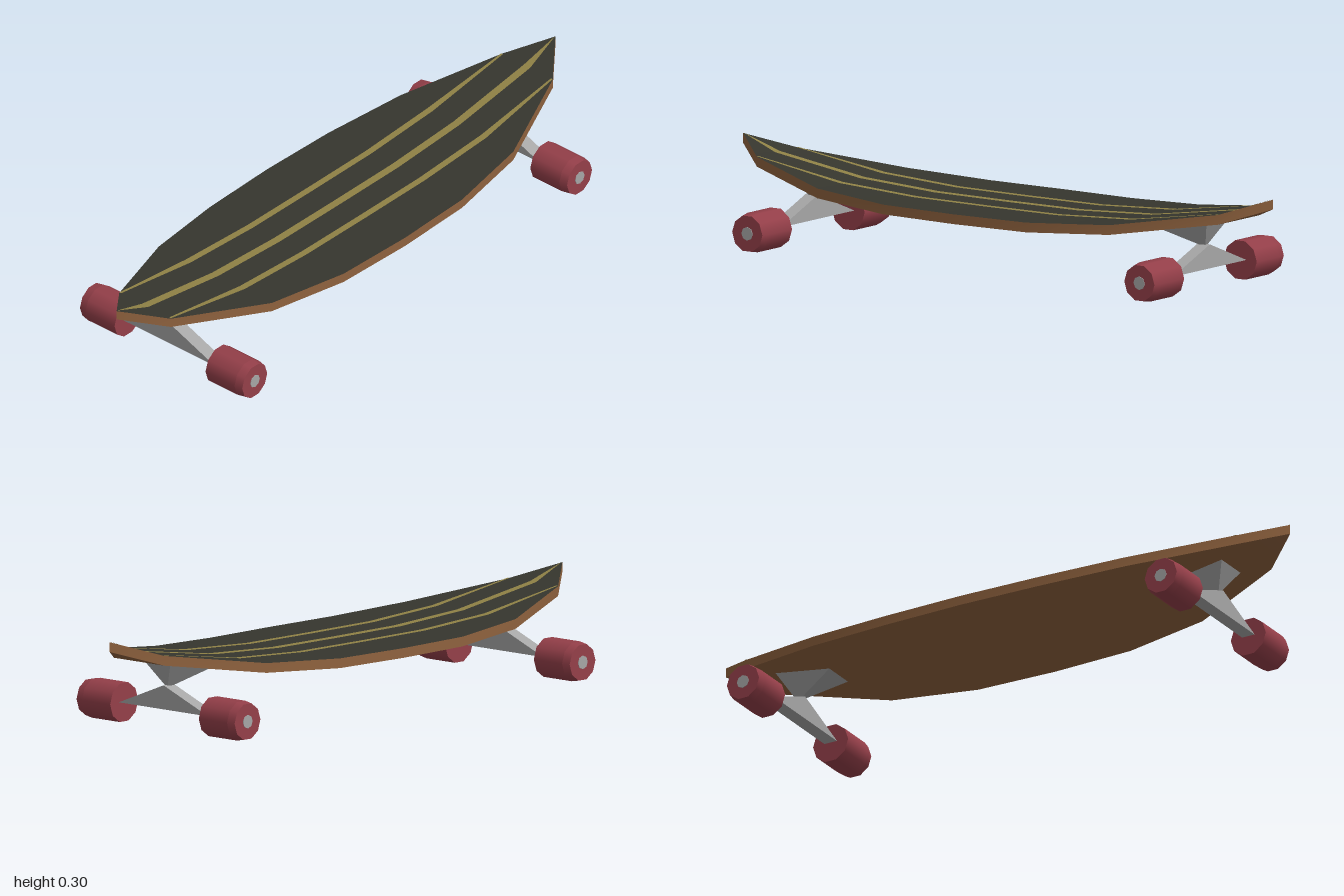
import * as THREE from 'three';

const mat = (name, color, side = THREE.FrontSide) => {
  const m = new THREE.MeshStandardMaterial({ color, side });
  m.name = name;
  return m;
};

// Deck stations from nose to tail: z, half width, top height
const half = [[1, 0, 0.297], [0.87, 0.105, 0.251], [0.55, 0.23, 0.204], [0.27, 0.272, 0.189]];
const stations = [...half, [0, 0.28, 0.188], ...half.map(([z, w, y]) => [-z, w, y]).reverse()];
const THICK = 0.03;

// Surface strip between two edge lines that run from nose to tail
function strip(list, edgeA, edgeB) {
  const pos = [], idx = [];
  list.forEach((s, i) => {
    pos.push(...edgeA(s), ...edgeB(s));
    if (i) {
      const k = 2 * i;
      idx.push(k - 2, k - 1, k, k - 1, k + 1, k);
    }
  });
  const g = new THREE.BufferGeometry();
  g.setAttribute('position', new THREE.Float32BufferAttribute(pos, 3));
  g.setIndex(idx);
  g.computeVertexNormals();
  return g;
}

export function createModel() {
  const wood = mat('wood', 0x8f623e);
  const grip = mat('grip', 0x36362e);
  const gold = mat('gold', 0x8f8145, THREE.DoubleSide);
  const metal = mat('metal', 0xa6a6a6);
  const rubber = mat('rubber', 0x943f49);

  const model = new THREE.Group();
  model.name = 'longboard';
  const add = (parent, name, geo, material) => {
    const m = new THREE.Mesh(geo, material);
    m.name = name;
    parent.add(m);
    return m;
  };

  // Deck: grip top, wooden underside and edges
  const deck = new THREE.Group();
  deck.name = 'deck';
  model.add(deck);
  const edge = (side, drop) => ([z, w, y]) => [side * w, y - drop, z];
  add(deck, 'gripTop', strip(stations, edge(-1, 0), edge(1, 0)), grip);
  add(deck, 'underside', strip(stations, edge(1, THICK), edge(-1, THICK)), wood);
  add(deck, 'leftEdge', strip(stations, edge(1, 0), edge(1, THICK)), wood);
  add(deck, 'rightEdge', strip(stations, edge(-1, THICK), edge(-1, 0)), wood);

  // Painted stripes, clipped to the deck outline
  const line = (x) => ([z, w, y]) => [THREE.MathUtils.clamp(x, -w, w), y + 0.002, z];
  for (const x of [-0.109, 0, 0.109]) {
    const list = x ? stations.slice(1, -1) : stations;
    const r = x ? 0.011 : 0.013;
    add(deck, 'stripe', strip(list, line(x - r), line(x + r)), gold);
  }

  // Bracket: upside-down pyramid under the sloping deck, tip above the axle
  const tip = [0, 0.125, 0.745];
  const corners = [[-0.055, 0.209, 0.79], [0.055, 0.209, 0.79], [0.055, 0.179, 0.6], [-0.055, 0.179, 0.6]];
  const tris = [];
  corners.forEach((c, i) => tris.push(...corners[(i + 1) % 4], ...c, ...tip));
  const bracketGeo = new THREE.BufferGeometry();
  bracketGeo.setAttribute('position', new THREE.Float32BufferAttribute(tris, 3));
  bracketGeo.computeVertexNormals();

  // Hanger: flat triangle spanning between the wheels
  const tri = new THREE.Shape([[-0.187, 0.061], [0.187, 0.061], [0, 0.135]].map((p) => new THREE.Vector2(...p)));
  const hangerGeo = new THREE.ExtrudeGeometry(tri, { depth: 0.044, bevelEnabled: false });
  hangerGeo.translate(0, 0, 0.718);

  // Wheel parts lie along x
  const drum = (r0, r1, x0, x1, sides, open) => {
    const g = new THREE.CylinderGeometry(r1, r0, x1 - x0, sides, 1, open);
    return g.rotateZ(-Math.PI / 2).translate((x0 + x1) / 2, 0, 0);
  };
  const treadGeo = drum(0.062, 0.062, 0.185, 0.303, 10, false);
  const lipGeo = drum(0.062, 0.057, 0.303, 0.33, 10, false);
  const capGeo = drum(0.021, 0.021, 0.325, 0.332, 8, false);

  for (const end of [1, -1]) {
    const truck = new THREE.Group();
    truck.name = end > 0 ? 'frontTruck' : 'rearTruck';
    truck.rotation.y = end > 0 ? 0 : Math.PI;
    model.add(truck);
    add(truck, 'bracket', bracketGeo, metal);
    add(truck, 'hanger', hangerGeo, metal);
    for (const side of [1, -1]) {
      const wheel = new THREE.Group();
      wheel.name = side * end > 0 ? 'leftWheel' : 'rightWheel';
      wheel.position.set(0, 0.059, 0.74);
      wheel.rotation.y = side > 0 ? 0 : Math.PI;
      truck.add(wheel);
      add(wheel, 'tread', treadGeo, rubber);
      add(wheel, 'lip', lipGeo, rubber);
      add(wheel, 'axleCap', capGeo, metal);
    }
  }
  return model;
}
